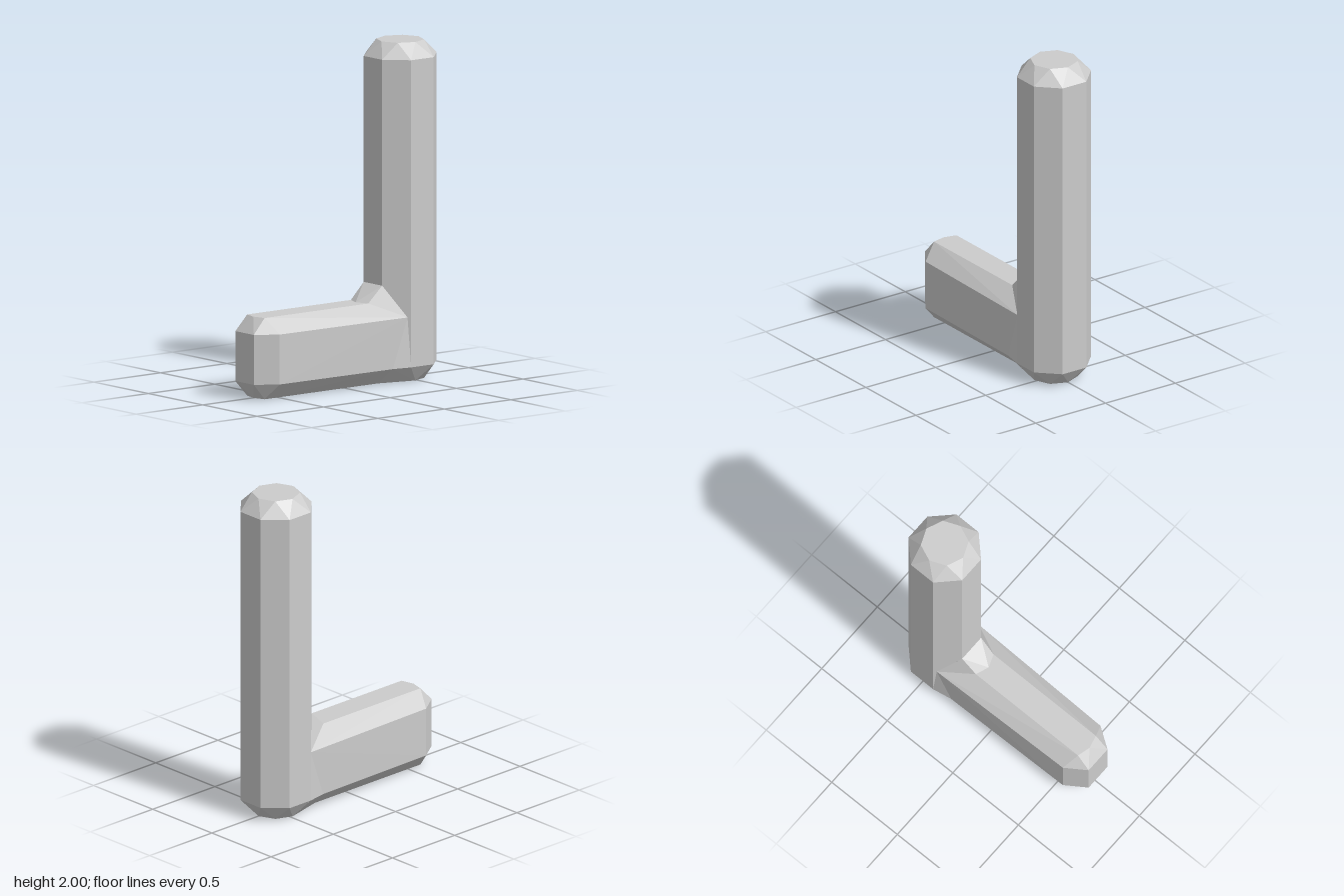
import * as THREE from 'three';
import { ConvexGeometry } from 'three/addons/geometries/ConvexGeometry.js';

const material = new THREE.MeshStandardMaterial({ color: 0xcccccc, flatShading: true });
const LEG_Z = -0.485;

// Octagon of points at height y, centred on the leg axis
function octagon(radius, y, turn) {
  return Array.from({ length: 8 }, (_, i) => {
    const a = (i + turn) * Math.PI / 4;
    return [radius * Math.sin(a), y, LEG_Z + radius * Math.cos(a)];
  });
}

// Mirrors points across x = 0; points on the centre line stay single
function mirrored(points) {
  return points.flatMap(([x, y, z]) => (x ? [[x, y, z], [-x, y, z]] : [[x, y, z]]));
}

// Faceted solid wrapped around a set of points
function solid(name, points) {
  const geometry = new ConvexGeometry(points.map((p) => new THREE.Vector3(...p)));
  const mesh = new THREE.Mesh(geometry, material);
  mesh.name = name;
  return mesh;
}

export function createModel() {
  const group = new THREE.Group();
  group.name = 'legWithFoot';

  // Upright eight-sided leg, its end caps turned half a side
  const R = 0.205 / Math.cos(Math.PI / 8);
  group.add(solid('leg', [
    ...octagon(0.14, 2, 0), ...octagon(R, 1.91, 0.5),
    ...octagon(R, 0.095, 0.5), ...octagon(0.14, 0, 0),
  ]));

  // Point where the upper edge of the foot meets the leg
  const join = [0.19, 0.39, -0.385];

  // Foot with bevelled long edges and a faceted toe
  const toe = [[0.48, 0.39], [0, 0.095]].flatMap(([flatY, sideY]) => [
    [0, flatY, 0.62], [0.08, flatY, 0.6],
    [0.17, sideY, 0.56], [0.085, sideY, 0.685],
  ]);
  group.add(solid('foot', mirrored([
    ...toe, join, [0.08, 0.48, -0.385], [0.183, 0.095, -0.28], [0.08, 0, -0.28],
  ])));

  // Heel flare blending the foot sides and sole into the leg
  group.add(solid('heelFlare', mirrored([
    join, [0.205, 0.095, -0.4], [0.183, 0.095, -0.28],
    [0.14, 0, LEG_Z], [0.08, 0, -0.25], [0, 0.3, -0.45],
  ])));

  // Sloped instep between the foot top and the leg front
  group.add(solid('instep', mirrored([
    [0.085, 0.575, -0.28], [0.08, 0.48, -0.18], [0, 0.48, -0.15],
    join, [0, 0.39, -0.4],
  ])));

  return group;
}
